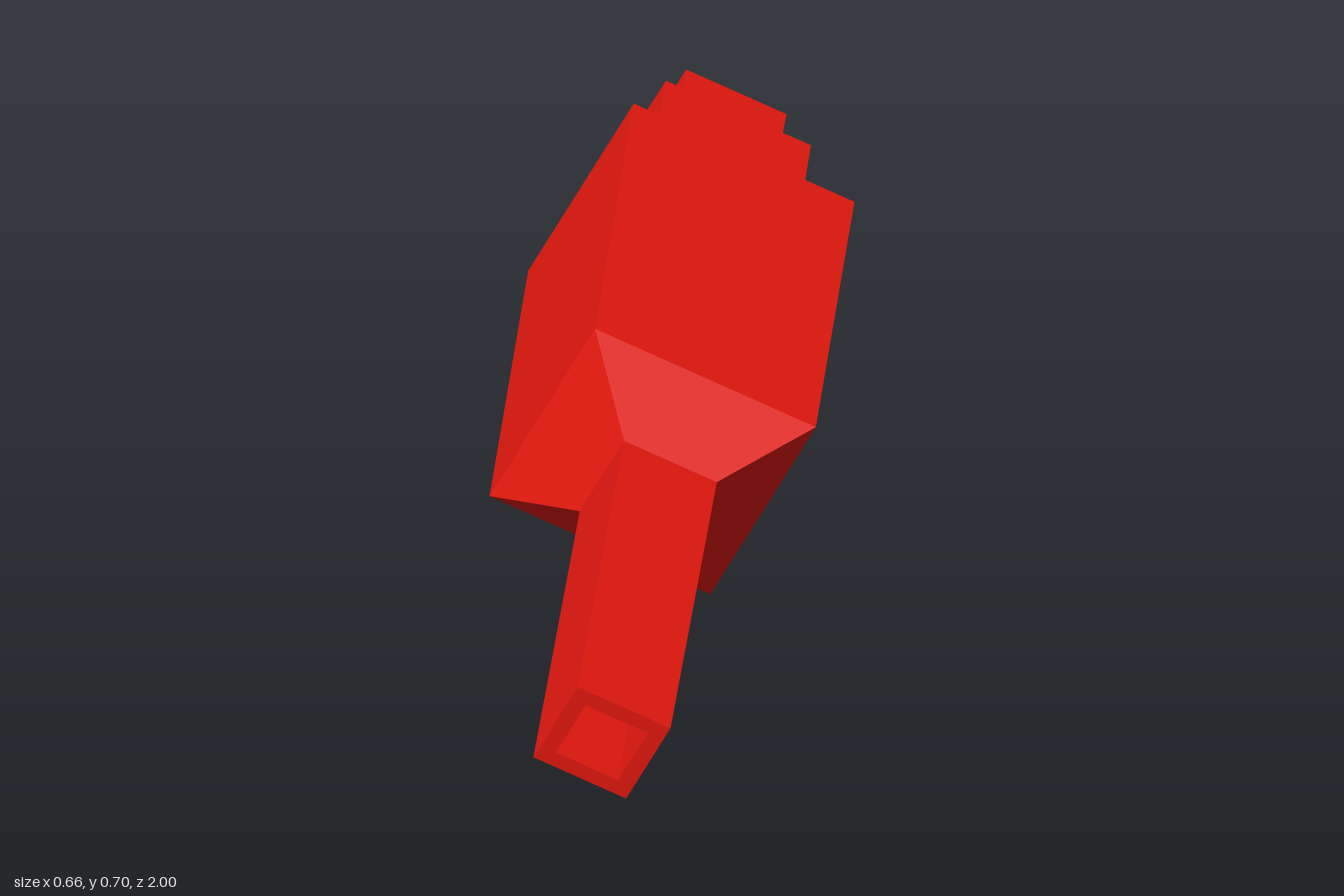
import * as THREE from 'three';

// Axes of the tilted square cross-section
const U = new THREE.Vector3(0.898, -0.44, 0);
const V = new THREE.Vector3(0.436, 0.888, 0.145);
const SIGNS = [[-1, -1], [1, -1], [1, 1], [-1, 1]];

const material = new THREE.MeshStandardMaterial({ color: 0xe8190f, flatShading: true });

// Four corners of a square section: centre x, y, z and half width
function corners([x, y, z, h]) {
  return SIGNS.map(([a, b]) =>
    new THREE.Vector3(x, y, z).addScaledVector(U, a * h).addScaledVector(V, b * h));
}

// Skin a run of square sections, optionally closing the first and last
function loft(name, sections, capStart = false, capEnd = false) {
  const rings = sections.map(corners);
  const points = [];
  const quad = (a, b, c, d) => points.push(a, b, c, a, c, d);
  for (let s = 0; s < rings.length - 1; s++) {
    const A = rings[s], B = rings[s + 1];
    for (let i = 0; i < 4; i++) {
      const j = (i + 1) % 4;
      quad(A[i], B[i], B[j], A[j]);
    }
  }
  if (capStart) quad(...rings[0]);
  if (capEnd) quad(...rings[rings.length - 1].slice().reverse());
  const geometry = new THREE.BufferGeometry().setFromPoints(points);
  geometry.computeVertexNormals();
  const mesh = new THREE.Mesh(geometry, material);
  mesh.name = name;
  return mesh;
}

export function createModel() {
  const group = new THREE.Group();
  group.name = 'squareDevice';

  // Section centres and half widths, from front to back
  const boreEnd = [-0.056, 0.257, 0.65, 0.0655];
  const boreMouth = [-0.076, 0.218, 0.986, 0.0655];
  const barrelFront = [-0.076, 0.218, 0.986, 0.0975];
  const barrelBack = [-0.023, 0.314, 0.235, 0.0975];
  const bodyFront = [-0.021, 0.309, 0.097, 0.232];
  const bodyBack = [0.02, 0.391, -0.6, 0.232];
  const collarFront = [0.0225, 0.395, -0.6, 0.1525];
  const collarBack = [0.034, 0.42, -0.805, 0.1525];
  const neckFront = [0.04, 0.427, -0.852, 0.1055];
  const neckBack = [0.045, 0.435, -0.921, 0.1055];
  const tip = [0.047, 0.447, -0.995, 0.033];

  group.add(
    loft('bore', [boreEnd, boreMouth], true),
    loft('barrel', [boreMouth, barrelFront, barrelBack]),
    loft('taper', [barrelBack, bodyFront]),
    loft('body', [bodyFront, bodyBack, collarFront]),
    loft('collar', [collarFront, collarBack, neckFront]),
    loft('neck', [neckFront, neckBack]),
    loft('endCap', [neckBack, tip], false, true),
  );
  return group;
}
